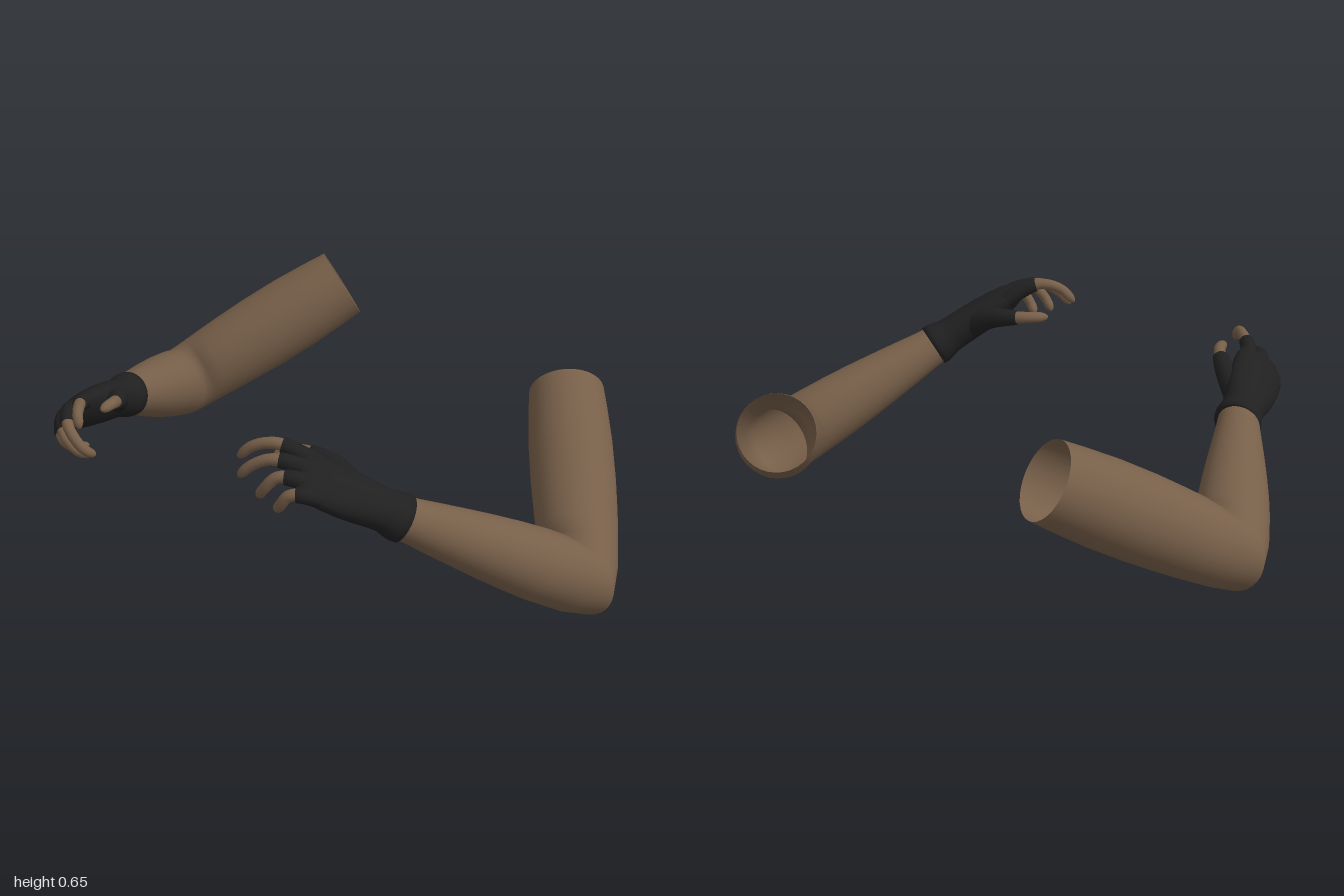
import * as THREE from 'three';

const V = (p) => new THREE.Vector3(...p);

const skin = new THREE.MeshStandardMaterial({ color: 0x775f49, side: THREE.DoubleSide });
skin.name = 'skin';
const glove = new THREE.MeshStandardMaterial({ color: 0x202020, side: THREE.DoubleSide });
glove.name = 'glove';

// Skin a list of elliptical rings {c, a, b}; a x b points along the travel direction
function loft(name, rings, sides, material, capEnd) {
  const pos = [], idx = [];
  for (const { c, a, b } of rings) {
    for (let j = 0; j < sides; j++) {
      const t = (j / sides) * Math.PI * 2;
      const p = c.clone().addScaledVector(a, Math.cos(t)).addScaledVector(b, Math.sin(t));
      pos.push(p.x, p.y, p.z);
    }
  }
  for (let i = 0; i < rings.length - 1; i++) {
    for (let j = 0; j < sides; j++) {
      const k = (j + 1) % sides, m = i * sides, n = m + sides;
      idx.push(m + j, m + k, n + j, m + k, n + k, n + j);
    }
  }
  if (capEnd) {
    const last = (rings.length - 1) * sides, tip = rings.length * sides;
    const c = rings[rings.length - 1].c;
    pos.push(c.x, c.y, c.z);
    for (let j = 0; j < sides; j++) idx.push(last + j, last + ((j + 1) % sides), tip);
  }
  const g = new THREE.BufferGeometry();
  g.setAttribute('position', new THREE.Float32BufferAttribute(pos, 3));
  g.setIndex(idx);
  g.computeVertexNormals();
  const mesh = new THREE.Mesh(g, material);
  mesh.name = name;
  return mesh;
}

// Bare arm: open at the shoulder, mitred at the elbow, tapering to the wrist
function buildArm({ shoulder, elbow, wrist }) {
  const S = V(shoulder), E = V(elbow), W = V(wrist);
  const U = E.clone().sub(S).normalize(), F = W.clone().sub(E).normalize();
  const w = U.clone().cross(F).normalize();
  const bend = U.clone().add(F).normalize();
  const ring = (c, t, r) => ({
    c, a: w.clone().multiplyScalar(r), b: t.clone().normalize().cross(w).multiplyScalar(r),
  });
  const upper = [[0, 0.122], [0.12, 0.128], [0.3, 0.134], [0.5, 0.134], [0.66, 0.13], [0.77, 0.126]];
  const fore = [[0.25, 0.113], [0.38, 0.108], [0.52, 0.1], [0.66, 0.09], [0.8, 0.079], [0.92, 0.069], [1.05, 0.062]];
  const rings = [
    ...upper.map(([t, r]) => ring(S.clone().lerp(E, t), U, r)),
    ring(E.clone().addScaledVector(U, -0.07), U.clone().add(bend), 0.121),
    ring(E.clone(), bend, 0.118),
    ring(E.clone().addScaledVector(F, 0.07), F.clone().add(bend), 0.118),
    ...fore.map(([t, r]) => ring(E.clone().lerp(W, t), F, r)),
  ];
  return loft('bareArm', rings, 32, skin, false);
}

// One digit: a gloved sleeve over the first part, bare skin to a rounded tip
function buildDigit(name, points, r0, r1, sleeve) {
  const curve = new THREE.CatmullRomCurve3(points);
  const ref = V([0.37, 0.61, -0.7]);
  const ring = (t, r) => {
    const tan = curve.getTangentAt(t);
    const a = ref.clone().addScaledVector(tan, -ref.dot(tan)).normalize();
    return { c: curve.getPointAt(t), a: a.clone().multiplyScalar(r), b: tan.clone().cross(a).multiplyScalar(r) };
  };
  const group = new THREE.Group();
  group.name = name;
  const black = [], bare = [];
  for (let i = 0; i <= 6; i++) {
    const t = (sleeve * i) / 6;
    black.push(ring(t, r0 + (r1 + 0.004 - r0) * (i / 6)));
  }
  black.push(ring(sleeve, r1 - 0.003));
  for (let i = 0; i <= 10; i++) {
    const t = sleeve - 0.04 + (0.94 - sleeve) * (i / 10);
    bare.push(ring(t, r1 * (1 - 0.15 * (i / 10))));
  }
  for (const [t, k] of [[0.94, 0.75], [0.975, 0.55], [1, 0.2]]) bare.push(ring(t, r1 * k));
  group.add(loft(name + 'Sleeve', black, 12, glove, false), loft(name + 'Skin', bare, 12, skin, true));
  return group;
}

// Fingerless glove: cuff, palm and five digits
function buildHand({ wrist, digits }) {
  const W = V(wrist);
  const index = V(digits.index[0]), pinky = V(digits.pinky[0]);
  const K = index.clone().lerp(pinky, 0.5);
  const f = K.clone().sub(W).normalize();
  const s = pinky.clone().sub(index);
  s.addScaledVector(f, -s.dot(f)).normalize();
  const n = f.clone().cross(s);
  // Fraction towards the knuckles, half width, half thickness
  const profile = [
    [-0.07, 0.062, 0.06], [-0.07, 0.076, 0.073], [-0.01, 0.077, 0.073], [0.07, 0.073, 0.068],
    [0.13, 0.069, 0.062], [0.25, 0.073, 0.06], [0.42, 0.085, 0.059], [0.6, 0.094, 0.056],
    [0.78, 0.097, 0.05], [0.92, 0.095, 0.043], [1.01, 0.088, 0.034], [1.06, 0.07, 0.018],
  ];
  const rings = profile.map(([t, hw, ht]) => ({
    c: W.clone().lerp(K, t), a: s.clone().multiplyScalar(hw), b: n.clone().multiplyScalar(ht),
  }));
  const group = new THREE.Group();
  group.name = 'hand';
  group.add(loft('glovePalm', rings, 28, glove, true));
  for (const [name, path] of Object.entries(digits)) {
    const pts = path.map(V);
    const thumb = name === 'thumb';
    if (!thumb) pts.unshift(pts[0].clone().lerp(W, 0.2));
    group.add(buildDigit(name, pts, thumb ? 0.046 : 0.03, thumb ? 0.021 : 0.019, thumb ? 0.66 : 0.46));
  }
  return group;
}

const leftSide = {
  shoulder: [0.45, 0.445, -0.635], elbow: [0.88, 0.128, -0.15], wrist: [0.54, 0.42, 0.32],
  digits: {
    index: [[0.31, 0.605, 0.48], [0.25, 0.635, 0.52], [0.19, 0.62, 0.555], [0.145, 0.575, 0.575]],
    middle: [[0.345, 0.6, 0.53], [0.28, 0.615, 0.575], [0.225, 0.585, 0.605], [0.19, 0.545, 0.62]],
    ring: [[0.38, 0.58, 0.565], [0.33, 0.585, 0.6], [0.295, 0.545, 0.62], [0.265, 0.505, 0.615]],
    pinky: [[0.42, 0.55, 0.58], [0.385, 0.55, 0.61], [0.355, 0.51, 0.62], [0.33, 0.485, 0.605]],
    thumb: [[0.45, 0.48, 0.385], [0.36, 0.53, 0.375], [0.27, 0.55, 0.38], [0.215, 0.555, 0.405], [0.175, 0.55, 0.455]],
  },
};
const rightSide = {
  shoulder: [-0.54, 0.55, -0.635], elbow: [-0.88, 0.22, -0.16], wrist: [-0.64, 0.42, 0.32],
  digits: {
    index: [[-0.52, 0.54, 0.6], [-0.47, 0.56, 0.655], [-0.43, 0.555, 0.695], [-0.415, 0.52, 0.705]],
    middle: [[-0.55, 0.51, 0.63], [-0.49, 0.49, 0.685], [-0.435, 0.435, 0.68], [-0.425, 0.4, 0.64]],
    ring: [[-0.58, 0.475, 0.63], [-0.525, 0.445, 0.675], [-0.465, 0.405, 0.665], [-0.45, 0.395, 0.625]],
    pinky: [[-0.61, 0.44, 0.61], [-0.565, 0.41, 0.65], [-0.515, 0.395, 0.64], [-0.5, 0.395, 0.6]],
    thumb: [[-0.59, 0.45, 0.41], [-0.53, 0.49, 0.45], [-0.475, 0.52, 0.5], [-0.44, 0.54, 0.55], [-0.43, 0.54, 0.6]],
  },
};

export function createModel() {
  const model = new THREE.Group();
  model.name = 'glovedArms';
  for (const [name, side] of [['leftArm', leftSide], ['rightArm', rightSide]]) {
    const arm = new THREE.Group();
    arm.name = name;
    arm.add(buildArm(side), buildHand(side));
    model.add(arm);
  }
  return model;
}
